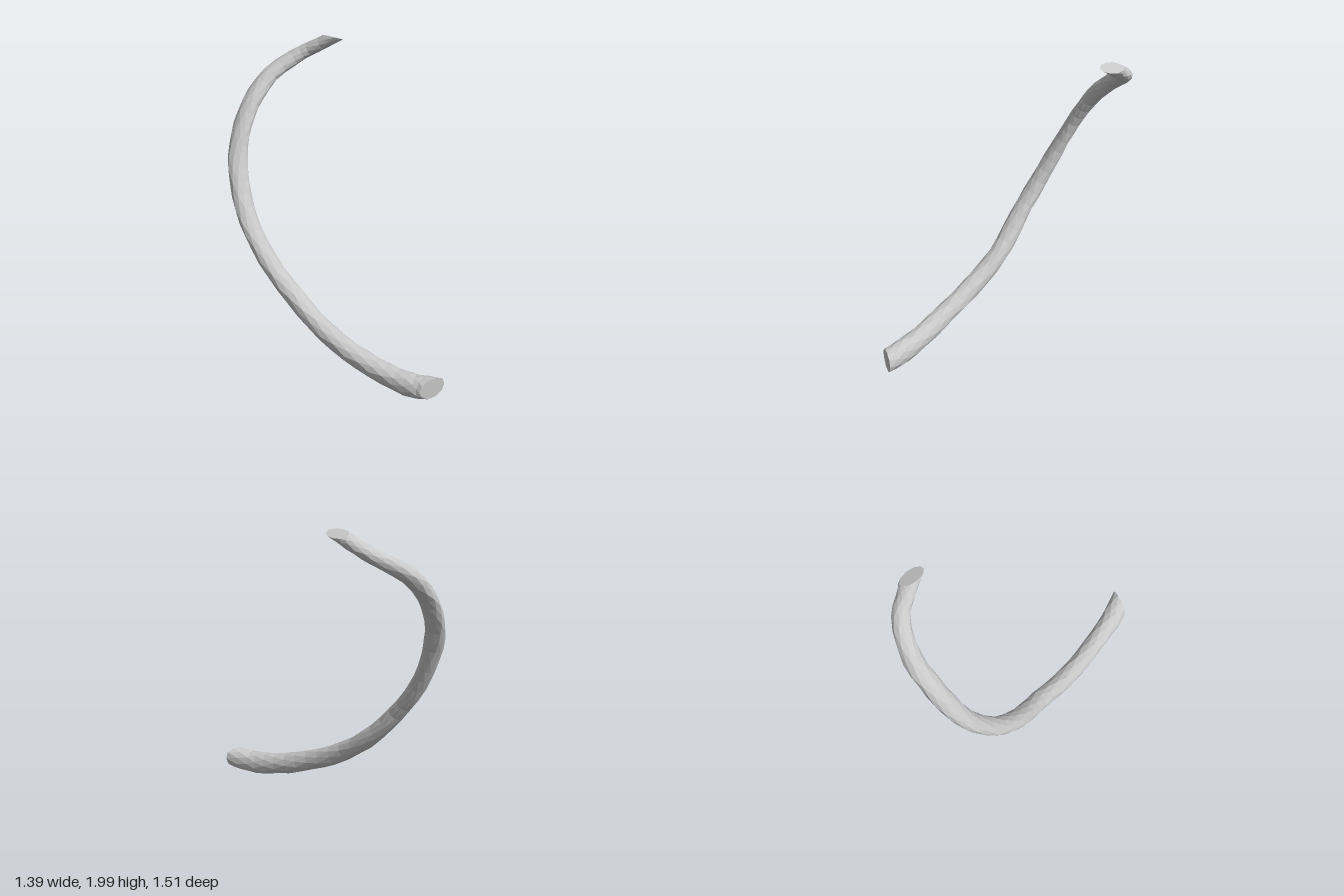
import * as THREE from 'three';

// Centre line stations: x, y, z, horizontal radius, other radius
const STATIONS = [
  [0.61, 0.10, 0.71, 0.073, 0.072],
  [0.48, 0.083, 0.645, 0.073, 0.078],
  [0.30, 0.11, 0.53, 0.069, 0.073],
  [0.10, 0.18, 0.40, 0.068, 0.068],
  [-0.10, 0.29, 0.245, 0.067, 0.066],
  [-0.28, 0.45, 0.095, 0.067, 0.062],
  [-0.44, 0.65, -0.01, 0.067, 0.056],
  [-0.55, 0.85, -0.12, 0.066, 0.052],
  [-0.61, 1.05, -0.225, 0.066, 0.049],
  [-0.63, 1.25, -0.33, 0.065, 0.048],
  [-0.60, 1.42, -0.42, 0.065, 0.049],
  [-0.53, 1.58, -0.52, 0.064, 0.052],
  [-0.41, 1.72, -0.63, 0.061, 0.053],
  [-0.21, 1.84, -0.70, 0.056, 0.047],
  [-0.09, 1.91, -0.675, 0.054, 0.044],
  [0.01, 1.975, -0.635, 0.058, 0.043],
];
const SIDES = 10, RINGS = 40;

function seeded(seed) {
  return () => {
    seed = (seed * 16807) % 2147483647;
    return seed / 2147483647;
  };
}

// Faceted rings swept along the curve, with slanted cuts at both ends
function sweptRings() {
  const path = new THREE.CatmullRomCurve3(STATIONS.map(s => new THREE.Vector3(s[0], s[1], s[2])));
  const radii = new THREE.CatmullRomCurve3(STATIONS.map(s => new THREE.Vector3(s[3], s[4], 0)));
  const up = new THREE.Vector3(0, 1, 0);
  const cuts = [new THREE.Vector3(0.45, 0, 0.9), new THREE.Vector3(0.24, 1, -0.3)];
  const random = seeded(17);
  const rings = [];
  for (let i = 0; i <= RINGS; i++) {
    const t = i / RINGS;
    const centre = path.getPoint(t), tangent = path.getTangent(t), r = radii.getPoint(t);
    const across = tangent.clone().cross(up).normalize();
    const other = tangent.clone().cross(across);
    const cut = cuts[t < 0.5 ? 0 : 1];
    const slant = Math.max(0, 1 - Math.min(i, RINGS - i) / 2);
    const ring = [];
    for (let j = 0; j < SIDES; j++) {
      const a = ((j + (i % 2) * 0.5) / SIDES) * Math.PI * 2;
      const bump = 0.98 + random() * 0.08;
      const offset = across.clone().multiplyScalar(Math.cos(a) * r.x * bump)
        .addScaledVector(other, Math.sin(a) * r.y * bump);
      offset.addScaledVector(tangent, -slant * offset.dot(cut) / tangent.dot(cut));
      ring.push(offset.add(centre));
    }
    rings.push(ring);
  }
  return { rings, start: path.getPoint(0), end: path.getPoint(1) };
}

function meshFrom(name, points, material) {
  const geometry = new THREE.BufferGeometry().setFromPoints(points);
  geometry.computeVertexNormals();
  const mesh = new THREE.Mesh(geometry, material);
  mesh.name = name;
  return mesh;
}

export function createModel() {
  const group = new THREE.Group();
  group.name = 'curvedRib';
  const grey = new THREE.MeshStandardMaterial({ color: 0xc8c8c8, flatShading: true });
  grey.name = 'pale grey';

  const { rings, start, end } = sweptRings();
  const shaft = [], lowerCap = [], upperCap = [];
  for (let j = 0; j < SIDES; j++) {
    const k = (j + 1) % SIDES;
    for (let i = 0; i < RINGS; i++) {
      const a = rings[i], b = rings[i + 1];
      // Odd rings are turned half a step, so the diagonal alternates
      if (i % 2) shaft.push(a[j], a[k], b[k], a[j], b[k], b[j]);
      else shaft.push(a[j], a[k], b[j], a[k], b[k], b[j]);
    }
    lowerCap.push(start, rings[0][k], rings[0][j]);
    upperCap.push(end, rings[RINGS][j], rings[RINGS][k]);
  }
  group.add(
    meshFrom('shaft', shaft, grey),
    meshFrom('lowerEnd', lowerCap, grey),
    meshFrom('upperEnd', upperCap, grey),
  );
  return group;
}
